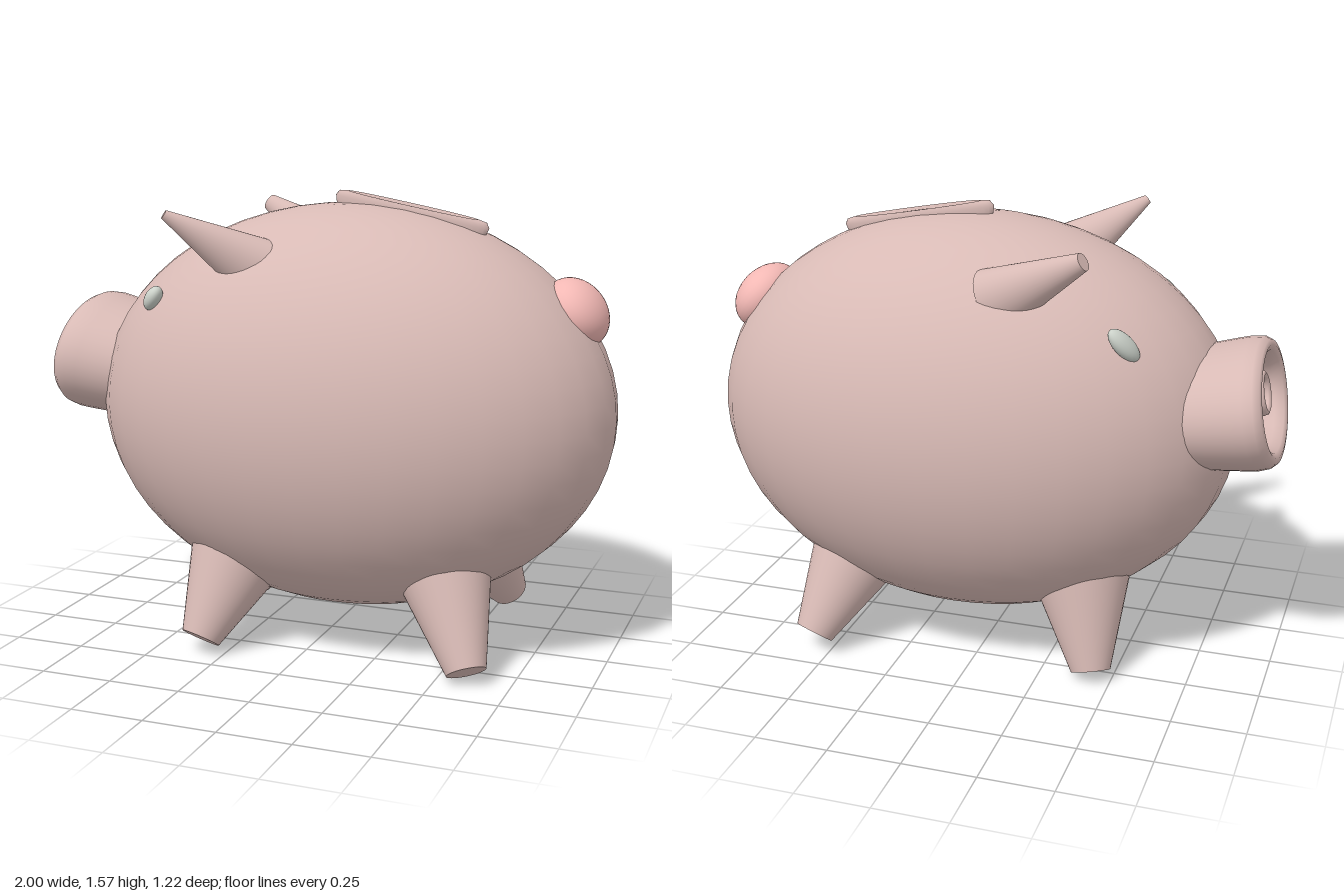
import * as THREE from 'three';

const skin = new THREE.MeshStandardMaterial({ color: 0xd8bab5, side: THREE.DoubleSide });
const pink = new THREE.MeshStandardMaterial({ color: 0xf2b8b4 });
const eyeGrey = new THREE.MeshStandardMaterial({ color: 0xccd2ca });
const V = (x, y, z) => new THREE.Vector3(x, y, z);
const UP = V(0, 1, 0);

export function createModel() {
  const group = new THREE.Group();

  function add(name, geometry, material, parent = group) {
    const mesh = new THREE.Mesh(geometry, material);
    mesh.name = name;
    parent.add(mesh);
    return mesh;
  }

  // tapered limb whose narrow end is at tip and whose wide end is buried in the body
  function taper(name, tip, root, rTip, rRoot, flat = 1) {
    const dir = tip.clone().sub(root);
    const mesh = add(name, new THREE.CylinderGeometry(rTip, rRoot, dir.length(), 32, 6), skin);
    mesh.position.copy(tip).add(root).multiplyScalar(0.5);
    mesh.quaternion.setFromUnitVectors(UP, dir.normalize());
    mesh.scale.z = flat;
    return mesh;
  }

  // ring with rounded lip and sunken middle, opening along +y
  function cup(name, points, parent) {
    const profile = points.map(([r, y]) => new THREE.Vector2(r, y));
    return add(name, new THREE.LatheGeometry(profile, 40), skin, parent);
  }

  // body
  const centre = V(0.08, 0.83, 0), radii = V(0.92, 0.7, 0.61);
  const body = add('body', new THREE.SphereGeometry(1, 36, 28), skin);
  body.position.copy(centre);
  body.scale.copy(radii);
  const normalAt = (p) => p.clone().sub(centre).divide(radii).divide(radii).normalize();

  // legs
  const legs = [
    ['frontLeftLeg', V(-0.33, 0.055, 0.41), V(-0.27, 0.28, 0.27)],
    ['backLeftLeg', V(0.605, 0.04, 0.36), V(0.49, 0.3, 0.22)],
    ['backRightLeg', V(0.55, 0.075, -0.415), V(0.46, 0.31, -0.25)],
    ['frontRightLeg', V(-0.43, 0.03, -0.305), V(-0.37, 0.28, -0.2)],
  ];
  for (const [name, foot, hip] of legs) {
    taper(name, foot, foot.clone().lerp(hip, 1.4), 0.068, 0.19);
  }

  // ears
  taper('leftEar', V(-0.41, 1.51, 0.46), V(-0.13, 1.31, 0.28), 0.016, 0.12, 0.85);
  taper('rightEar', V(-0.4, 1.49, -0.4), V(-0.09, 1.32, -0.32), 0.03, 0.11, 0.85);

  // snout with rounded lip and recess, axis along -x and a little up
  const snout = new THREE.Group();
  snout.name = 'snout';
  snout.position.set(-0.865, 0.953, -0.02);
  snout.rotation.z = Math.PI / 2 - 0.19;
  group.add(snout);
  const muzzle = cup('muzzle', [
    [0.88, -0.24], [0.95, -0.1], [0.99, 0], [1, 0.04], [0.98, 0.075], [0.92, 0.096],
    [0.84, 0.1], [0.76, 0.09], [0.7, 0.06], [0.67, 0.02], [0.6, -0.01], [0, -0.02],
  ], snout);
  muzzle.scale.set(0.215, 1, 0.3);
  // nostrils
  for (const side of [-1, 1]) {
    const nostril = cup('nostril', [
      [0.078, -0.03], [0.08, 0.03], [0.074, 0.055], [0.064, 0.06], [0.054, 0.05],
      [0.048, 0.02], [0.035, -0.01], [0, -0.02],
    ], snout);
    nostril.position.z = side * 0.1;
  }

  // eyes, laid flat against the body and slanted
  for (const [name, side, size] of [['leftEye', 1, 0.065], ['rightEye', -1, 0.09]]) {
    const eye = add(name, new THREE.SphereGeometry(1, 24, 16), eyeGrey);
    eye.position.set(-0.52, 1.215, side * 0.335);
    const n = normalAt(eye.position);
    const along = V(0.11, 0.085, -side * 0.02);
    along.addScaledVector(n, -along.dot(n)).normalize();
    const across = n.clone().cross(along);
    eye.quaternion.setFromRotationMatrix(new THREE.Matrix4().makeBasis(along, n, across));
    eye.scale.set(size, 0.036, 0.038);
  }

  // coin slot on the back
  const slot = cup('coinSlot', [
    [0.92, -0.05], [0.98, -0.02], [1, 0], [0.96, 0.017], [0.85, 0.022], [0.72, 0.016],
    [0.64, 0], [0.56, 0.012], [0.46, 0.012], [0.36, 0], [0, -0.004],
  ], group);
  slot.position.set(0.285, 1.505, 0);
  slot.rotation.z = -0.185;
  slot.scale.set(0.275, 1, 0.046);

  // tail knob
  const tail = add('tail', new THREE.SphereGeometry(1, 32, 20), pink);
  tail.position.set(0.845, 1.185, -0.043);
  tail.quaternion.setFromUnitVectors(V(1, 0, 0), normalAt(V(0.845, 1.185, 0)));
  tail.scale.set(0.098, 0.125, 0.147);

  return group;
}
